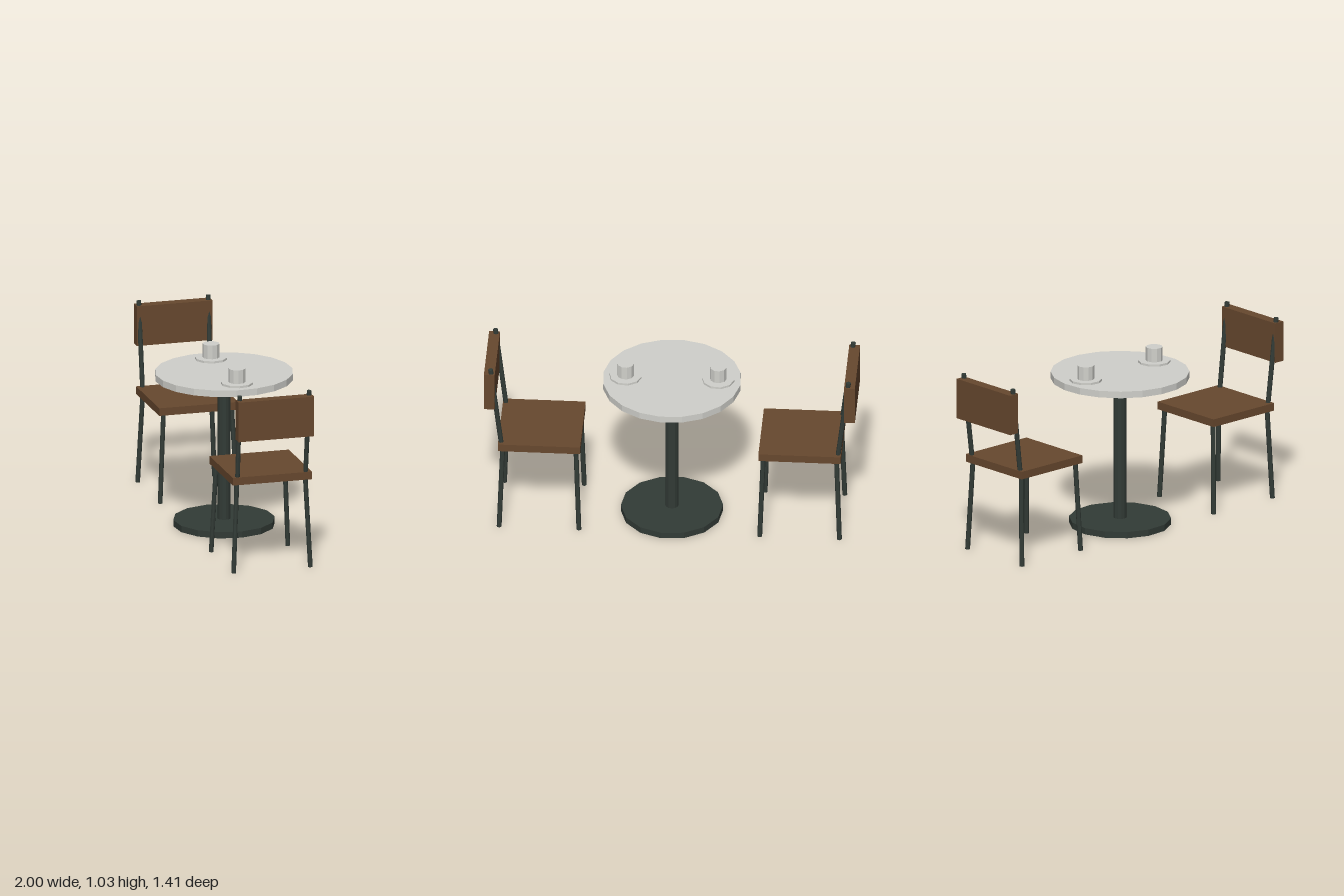
import * as THREE from 'three';

const mat = (name, color) => {
  const m = new THREE.MeshStandardMaterial({ color, flatShading: true });
  m.name = name;
  return m;
};

export function createModel() {
  const wood = mat('brown wood', 0x67482e);
  const metal = mat('dark metal', 0x323b36);
  const stone = mat('pale grey', 0xd0d0cb);
  const root = new THREE.Group();
  root.name = 'cafeTableSet';

  const add = (parent, name, geometry, material, x, y, z) => {
    const mesh = new THREE.Mesh(geometry, material);
    mesh.name = name;
    mesh.position.set(x, y, z);
    parent.add(mesh);
    return mesh;
  };

  // Upright disc or column between two heights
  const disc = (parent, name, material, r, y0, y1, sides, x = 0, z = 0) => {
    const g = new THREE.CylinderGeometry(r, r, y1 - y0, sides).rotateY(Math.PI / 2);
    return add(parent, name, g, material, x, (y0 + y1) / 2, z);
  };

  // Thin rod between two points
  const rod = (parent, name, a, b) => {
    const from = new THREE.Vector3(...a), to = new THREE.Vector3(...b);
    const dir = to.clone().sub(from);
    const mid = from.add(to).multiplyScalar(0.5);
    const g = new THREE.CylinderGeometry(0.0135, 0.0135, dir.length(), 8);
    const mesh = add(parent, name, g, metal, mid.x, mid.y, mid.z);
    mesh.quaternion.setFromUnitVectors(new THREE.Vector3(0, 1, 0), dir.normalize());
  };

  // Pedestal table
  const table = new THREE.Group();
  table.name = 'table';
  root.add(table);
  disc(table, 'tableBase', metal, 0.283, 0, 0.036, 14);
  disc(table, 'tableColumn', metal, 0.036, 0.036, 0.842, 12);
  disc(table, 'tableTop', stone, 0.384, 0.842, 0.88, 20);

  // Cups on saucers, facing each other
  for (const s of [-1, 1]) {
    const setting = new THREE.Group();
    setting.name = 'cupAndSaucer';
    root.add(setting);
    disc(setting, 'saucer', stone, 0.09, 0.88, 0.892, 10, s * 0.222, s * 0.129);
    disc(setting, 'cup', stone, 0.047, 0.892, 0.97, 10, s * 0.222, s * 0.129);
  }

  // Two chairs on opposite sides; local +x points away from the table
  for (const turn of [0, Math.PI]) {
    const chair = new THREE.Group();
    chair.name = 'chair';
    chair.rotation.y = -Math.PI / 6 + turn;
    root.add(chair);
    add(chair, 'seat', new THREE.BoxGeometry(0.456, 0.044, 0.456), wood, 0.722, 0.527, 0);
    add(chair, 'backrest', new THREE.BoxGeometry(0.06, 0.228, 0.436), wood, 0.998, 0.889, 0);
    for (const v of [-1, 1]) {
      for (const u of [-1, 1]) {
        rod(chair, 'leg', [0.722 + u * 0.221, 0, v * 0.221], [0.722 + u * 0.203, 0.51, v * 0.197]);
      }
      rod(chair, 'backPost', [0.932, 0.53, v * 0.196], [0.992, 1.029, v * 0.2]);
    }
  }
  return root;
}
